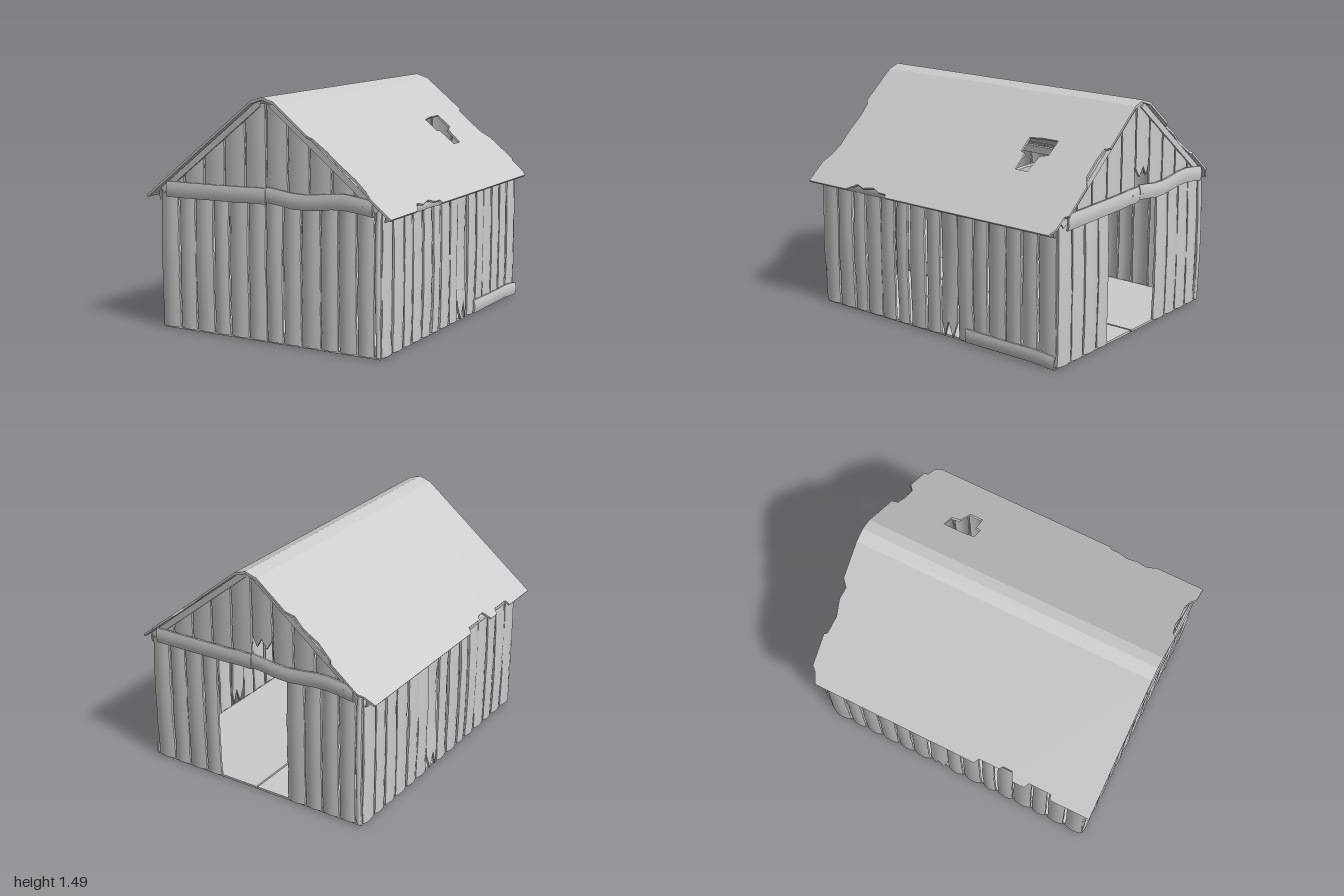
import * as THREE from 'three';

const material = new THREE.MeshStandardMaterial({ color: 0xcccccc, side: THREE.DoubleSide });
const lerp = THREE.MathUtils.lerp;

// Repeatable noise in -1..1
const noise = (a, b) => {
  const n = Math.sin(a * 127.1 + b * 311.7) * 43758.5453;
  return (n - Math.floor(n)) * 2 - 1;
};

function add(parent, name, geometry) {
  const mesh = new THREE.Mesh(geometry, material);
  mesh.name = name;
  parent.add(mesh);
  return mesh;
}

function box(parent, name, size, position) {
  const mesh = add(parent, name, new THREE.BoxGeometry(...size));
  mesh.position.set(...position);
  return mesh;
}

// Weathered board with a crowned face, wavy edges and an optional splintered foot
function plankGeometry(x0, x1, y0, top, { t = 0.014, crown = 0.012, bow = 0, rough = 0.004, broken = 0 } = {}) {
  const g = new THREE.BoxGeometry(1, 1, 1, 4, 8, 1);
  const p = g.attributes.position;
  for (let i = 0; i < p.count; i++) {
    const px = p.getX(i), v = p.getY(i) + 0.5, pz = p.getZ(i);
    const edge = Math.abs(px) > 0.49 ? rough * noise(x0 * 9 + Math.sign(px), Math.round(v * 8)) : 0;
    const x = lerp(x0, x1, px + 0.5) + edge;
    const tooth = Math.round((px + 0.5) * 4) % 2 ? 0 : broken;
    p.setXYZ(i, x, lerp(y0 + tooth, top(x), v),
      pz * t + crown * (1 - 4 * px * px) + bow * Math.sin(Math.PI * v));
  }
  g.computeVertexNormals();
  return g;
}

// Horizontal board whose centre line follows centre(x)
function beam(parent, name, x0, x1, height, z, centre) {
  const g = plankGeometry(-height / 2, height / 2, x0, () => x1, { t: 0.012, crown: 0.008, rough: 0.002 });
  g.rotateZ(-Math.PI / 2);
  const p = g.attributes.position;
  for (let i = 0; i < p.count; i++) p.setY(i, p.getY(i) + centre(p.getX(i)));
  g.computeVertexNormals();
  add(parent, name, g).position.z = z;
}

function nail(parent, x, y, z) {
  const mesh = add(parent, 'nail', new THREE.CylinderGeometry(0.007, 0.007, 0.012, 8));
  mesh.rotation.x = Math.PI / 2;
  mesh.position.set(x, y, z);
}

const EAVE = new THREE.Vector2(0.86, 0.84), SHOULDER = new THREE.Vector2(0.08, 1.465);
const roofY = x => Math.min(1.47, SHOULDER.y - (Math.abs(x) - SHOULDER.x) * 0.8013);

// Gable end: lower boards, gable boards, rafters and the two-piece tie board
function endWall(name, isBack) {
  const wall = new THREE.Group();
  wall.name = name;
  const edges = [-0.775, -0.64, -0.515, -0.38, -0.265, -0.13, 0, 0.12, 0.245, 0.38, 0.5, 0.62, 0.74];
  edges.forEach((x, i) => {
    const end = (edges[i + 1] ?? 0.785) - 0.01;
    if (isBack && x > -0.3 && end < 0.26) return; // doorway
    add(wall, 'wallBoard', plankGeometry(x, end, 0.01, () => 0.885,
      { bow: 0.006 + 0.006 * noise(i, 3), rough: 0.005 }));
  });
  for (let i = 0; i < 10; i++) {
    const x = -0.75 + i * 0.15;
    const split = isBack && i === 5;
    add(wall, 'gableBoard', plankGeometry(x + 0.005, x + 0.144, split ? 1.0 : 0.87,
      u => roofY(u) - 0.022, { crown: 0.008, rough: 0.002, broken: split ? 0.06 : 0 }));
  }
  for (const s of [-1, 1]) {
    const rafter = box(wall, 'rafter', [0.92, 0.038, 0.022], [s * 0.4, roofY(0.4) - 0.047, 0.012]);
    rafter.rotation.z = -s * Math.atan(0.8013);
  }
  beam(wall, 'tieBoard', -0.72, 0.008, 0.098, 0.026, x => 0.9 + x * 0.02);
  beam(wall, 'tieBoard', 0.012, 0.73, 0.094, 0.026, x => 0.897 + 0.013 * Math.cos(x * 12));
  for (const [x, y] of [[-0.675, 0.885], [-0.065, 0.905], [0.05, 0.9], [0.665, 0.9]]) nail(wall, x, y, 0.034);
  return wall;
}

// Long wall; dir flips the board layout so the two sides mirror each other
function sideWall(name, dir) {
  const wall = new THREE.Group();
  wall.name = name;
  const spans = [[0.95, 0.83], [0.815, 0.695], [0.68, 0.58], [0.565, 0.445], [0.435, 0.325], [0.3, 0.215],
    [0.19, 0.07], [0.05, -0.05], [-0.06, -0.19], [-0.2, -0.315], [-0.325, -0.43], [-0.445, -0.565],
    [-0.575, -0.685], [-0.7, -0.805], [-0.82, -0.945]];
  spans.forEach(([a, b], i) => {
    const broken = i === 8 ? 0.1 : 0;
    const x0 = Math.min(a * dir, b * dir), x1 = Math.max(a * dir, b * dir);
    add(wall, broken ? 'splitBoard' : 'wallBoard', plankGeometry(x0, x1, 0.012, () => 0.87,
      { bow: broken ? -0.015 : 0.005 + 0.006 * noise(i, 7), rough: 0.005, broken }));
  });
  beam(wall, 'eaveBoard', -0.94, -0.025, 0.065, 0.02, () => 0.842);
  beam(wall, 'eaveBoard', 0.025, 0.94, 0.065, 0.02, () => 0.842);
  for (const x of [-0.87, -0.08, 0.08, 0.87]) nail(wall, x, 0.828, 0.029);
  return wall;
}

// One roof slope drawn in plan as [x, z], laid onto the pitch
function roofSlope(parent, name, outline, hole) {
  const run = EAVE.x - SHOULDER.x, drop = SHOULDER.y - EAVE.y, length = Math.hypot(run, drop);
  const flat = pts => pts.map(([x, z]) => new THREE.Vector2((x - SHOULDER.x) / run * length, z));
  const shape = new THREE.Shape(flat(outline));
  if (hole) shape.holes.push(new THREE.Path(flat(hole)));
  const g = new THREE.ExtrudeGeometry(shape, { depth: 0.014, bevelEnabled: false });
  const along = new THREE.Vector3(run, -drop, 0).normalize(), across = new THREE.Vector3(0, 0, 1);
  const m = new THREE.Matrix4().makeBasis(along, across, along.clone().cross(across));
  g.applyMatrix4(m.setPosition(SHOULDER.x, SHOULDER.y, 0));
  return add(parent, name, g);
}

export function createModel() {
  const barn = new THREE.Group();
  barn.name = 'oldBarn';

  // Floor slabs with a seam along the middle
  for (const s of [-1, 1]) box(barn, 'floor', [0.765, 0.014, 1.9], [s * 0.388, 0.007, 0]);

  // Walls
  const walls = [
    [endWall('frontWall', false), 0, 0, 0.947], [endWall('backWall', true), Math.PI, 0, -0.947],
    [sideWall('leftWall', -1), Math.PI / 2, 0.772, 0], [sideWall('rightWall', 1), -Math.PI / 2, -0.772, 0],
  ];
  for (const [wall, turn, x, z] of walls) {
    wall.rotation.y = turn;
    wall.position.set(x, 0, z);
    barn.add(wall);
  }

  // Inner frame: corner posts, wall plates and tie beam
  for (const x of [-1, 1]) {
    for (const z of [-1, 1]) box(barn, 'cornerPost', [0.035, 0.87, 0.035], [x * 0.752, 0.445, z * 0.925]);
    box(barn, 'wallPlate', [0.03, 0.05, 1.86], [x * 0.745, 0.84, 0]);
  }
  box(barn, 'tieBeam', [1.5, 0.05, 0.04], [0, 0.87, 0]);

  // Fallen board along the foot of one side
  const fallen = new THREE.Group();
  fallen.name = 'fallenBoard';
  fallen.rotation.y = Math.PI / 2;
  fallen.position.x = 0.785;
  beam(fallen, 'looseBoard', 0.27, 0.95, 0.085, 0.008, x => 0.054 - Math.max(0, x - 0.82) * 0.1);
  barn.add(fallen);

  // Roof: ridge cap and two ragged slopes
  const cap = new THREE.Shape([[-0.08, 1.465], [-0.072, 1.449], [0, 1.474], [0.072, 1.449], [0.08, 1.465], [0, 1.49]]
    .map(p => new THREE.Vector2(...p)));
  add(barn, 'ridgeCap', new THREE.ExtrudeGeometry(cap, { depth: 2, bevelEnabled: false })).position.z = -1;

  roofSlope(barn, 'leftRoof', [
    [0.08, -1], [0.34, -1], [0.35, -0.965], [0.42, -0.955], [0.52, -0.96], [0.55, -0.985], [0.57, -1],
    [0.74, -1], [0.75, -0.975], [0.82, -0.97], [0.86, -0.945], [0.86, 0.33], [0.84, 0.34], [0.84, 0.4],
    [0.82, 0.46], [0.835, 0.54], [0.82, 0.6], [0.86, 0.67], [0.86, 1], [0.73, 1], [0.68, 0.97],
    [0.61, 0.955], [0.5, 0.965], [0.42, 0.96], [0.33, 0.975], [0.31, 1], [0.08, 1],
  ], [
    [0.35, -0.63], [0.35, -0.5], [0.36, -0.42], [0.445, -0.42], [0.45, -0.455], [0.55, -0.46],
    [0.55, -0.55], [0.455, -0.57], [0.44, -0.625],
  ]);
  // Drawn on the +x side, then turned half round
  roofSlope(barn, 'rightRoof', [
    [0.08, -1], [0.86, -1], [0.86, -0.73], [0.83, -0.72], [0.83, -0.57], [0.86, -0.55], [0.86, -0.47],
    [0.81, -0.44], [0.81, -0.38], [0.83, -0.36], [0.83, -0.22], [0.86, -0.2], [0.86, 0.945], [0.8, 0.97],
    [0.77, 1], [0.59, 1], [0.58, 0.98], [0.48, 0.96], [0.39, 0.98], [0.32, 0.965], [0.28, 1], [0.08, 1],
  ]).rotation.y = Math.PI;

  return barn;
}
